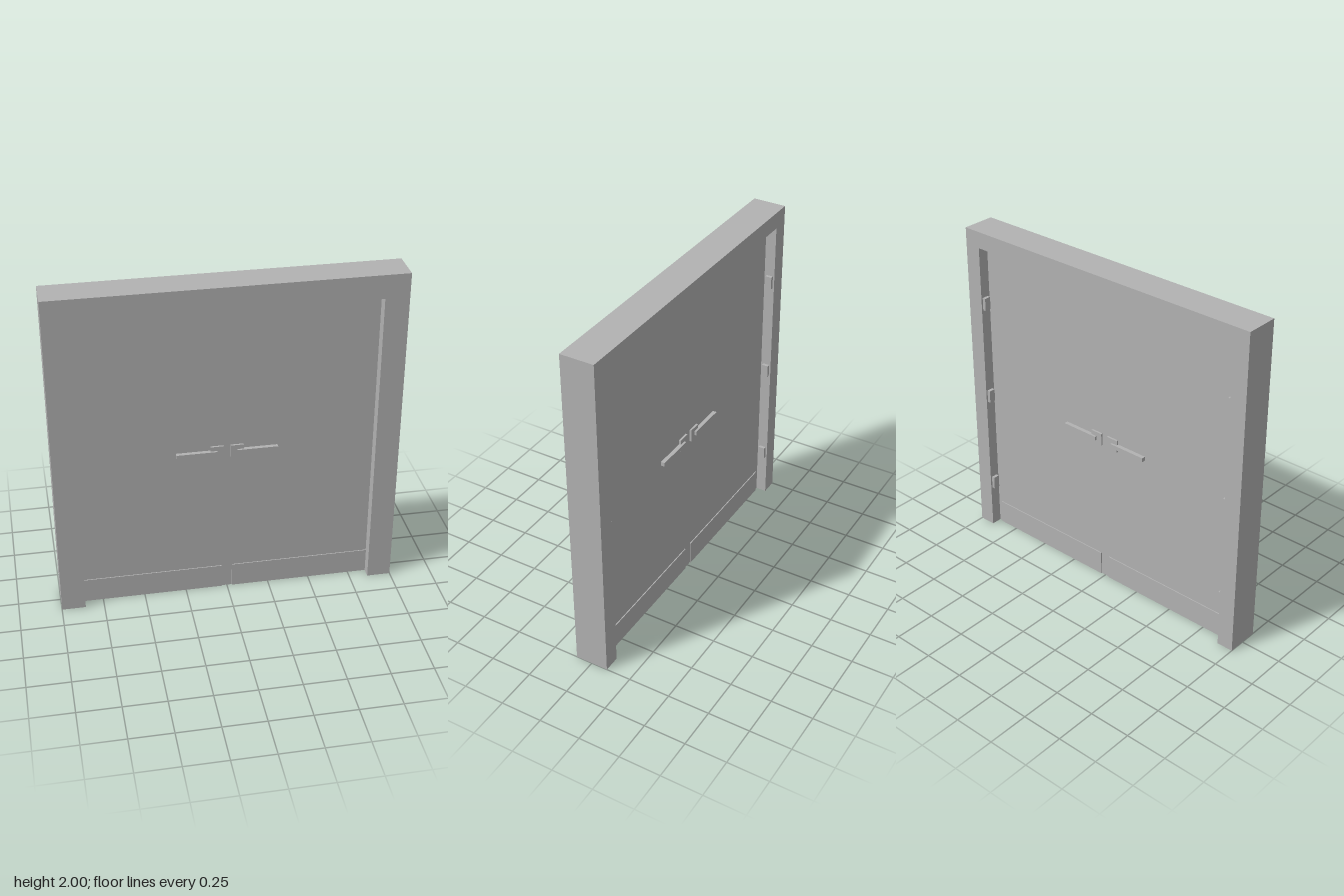
import * as THREE from 'three';

const grey = new THREE.MeshStandardMaterial({ color: 0xb2b2b2 });

// Box given by its two extreme corners
function box(name, [x0, y0, z0], [x1, y1, z1]) {
  const mesh = new THREE.Mesh(new THREE.BoxGeometry(Math.abs(x1 - x0), y1 - y0, z1 - z0), grey);
  mesh.position.set((x0 + x1) / 2, (y0 + y1) / 2, (z0 + z1) / 2);
  mesh.name = name;
  return mesh;
}

// Upside-down U of the door frame, extruded from z0 to z1
function frameLayer(name, halfOpening, openingTop, z0, z1) {
  const w = halfOpening;
  const shape = new THREE.Shape([
    [-1, 0], [-w, 0], [-w, openingTop], [w, openingTop], [w, 0], [1, 0], [1, 2], [-1, 2],
  ].map(([x, y]) => new THREE.Vector2(x, y)));
  const geometry = new THREE.ExtrudeGeometry(shape, { depth: z1 - z0, bevelEnabled: false });
  geometry.translate(0, 0, z0);
  const mesh = new THREE.Mesh(geometry, grey);
  mesh.name = name;
  return mesh;
}

export function createModel() {
  const model = new THREE.Group();
  model.name = 'doubleDoor';
  const doorZ = 0.035;

  // Rebated frame: the narrower front opening acts as the door stop
  model.add(
    frameLayer('frameFront', 0.86, 1.86, doorZ, 0.1),
    frameLayer('frameBack', 0.9, 1.9, -0.1, doorZ),
  );

  for (const side of [-1, 1]) {
    const label = side > 0 ? 'left' : 'right';
    const leaf = new THREE.Group();
    leaf.name = label + 'Leaf';
    leaf.add(box('doorPanel', [0, 0, -doorZ], [side * 0.9, 1.9, doorZ]));

    // Kick plates and lever handles on both faces
    for (const face of [-1, 1]) {
      const layer = (name, x0, x1, y0, y1, depth) => {
        const z = [face * doorZ, face * (doorZ + depth)].sort((a, b) => a - b);
        leaf.add(box(name, [side * x0, y0, z[0]], [side * x1, y1, z[1]]));
      };
      layer('kickPlate', 0.03, 0.875, 0, 0.15, 0.006);
      layer('handlePlate', 0.021, 0.096, 0.914, 0.99, 0.012);
      layer('handleLever', 0.058, 0.294, 0.938, 0.963, 0.024);
    }

    // Three hinges on the jamb behind the leaf
    for (const y of [0.31, 0.93, 1.545]) {
      leaf.add(box('hinge', [side * 0.88, y - 0.039, -0.09], [side * 0.9, y + 0.039, -0.05]));
    }
    model.add(leaf);
  }
  return model;
}
